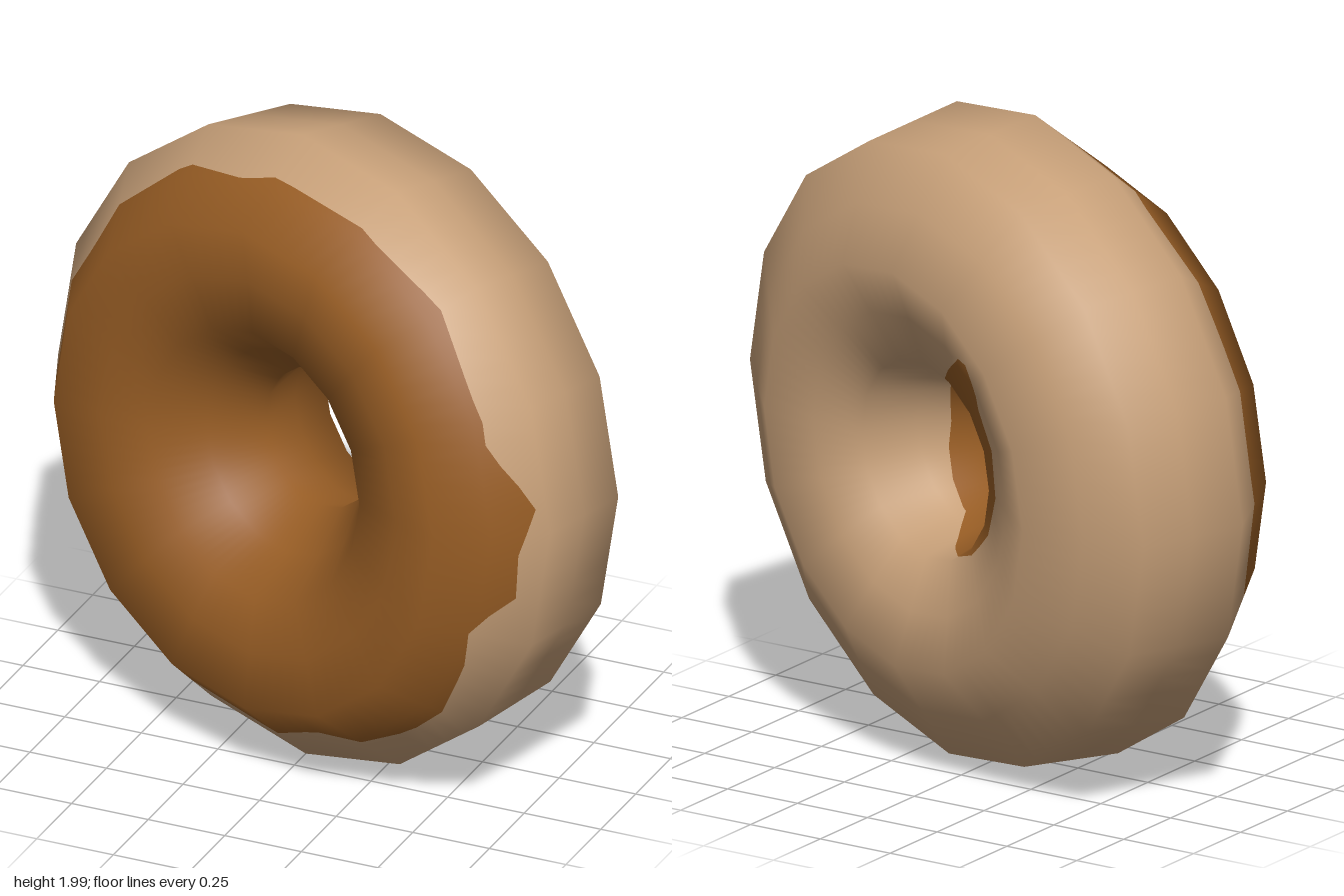
import * as THREE from 'three';

const SEGMENTS = 16;          // sides around the ring
const COLUMNS = SEGMENTS * 5; // finer columns so the icing edge can be ragged
const START = 0.037;          // angle of the first ring corner

// Seven-sided tube section as [radius, depth], outer rim -> front -> hole -> back
const PROFILE = [
  [1.0, 0.11], [0.77, 0.375], [0.43, 0.33], [0.22, 0.04],
  [0.31, -0.31], [0.63, -0.43], [0.96, -0.23],
];
const corner = (k) => PROFILE[((k % 7) + 7) % 7];

// Icing edges as [degrees around the ring, position along the section]
const OUTER_EDGE = [
  [0, 0.25], [7, 0.08], [19, 0.43], [30, 0.42], [48, 0.35], [65, 0.42], [90, 0.43],
  [101, 0.48], [119, 0.38], [149, 0.52], [180, 0.5], [207, 0.6], [239, 0.55], [270, 0.43],
  [285, 0.6], [294, 0.47], [306, 0.32], [330, 0.42], [341, 0.58], [348, 0.2], [360, 0.25],
];
const INNER_EDGE = [
  [0, 3.2], [60, 3.3], [100, 3.6], [118, 4.3], [126, 4.75], [140, 4.35], [180, 4.2],
  [215, 4.1], [240, 4.0], [262, 3.8], [290, 3.4], [360, 3.2],
];

function sample(edge, column) {
  const deg = (THREE.MathUtils.radToDeg(START) + (column / COLUMNS) * 360) % 360;
  const i = edge.findIndex((p, n) => deg >= p[0] && deg <= edge[n + 1][0]);
  const [a, b] = [edge[i], edge[i + 1]];
  return THREE.MathUtils.mapLinear(deg, a[0], b[0], a[1], b[1]);
}

// Section point and its smooth normal at position t
function section(t) {
  const k = Math.floor(t), f = t - k;
  const normalAt = (i) => {
    const a = corner(i - 1), b = corner(i + 1);
    return new THREE.Vector2(b[1] - a[1], a[0] - b[0]).normalize();
  };
  const point = new THREE.Vector2(...corner(k)).lerp(new THREE.Vector2(...corner(k + 1)), f);
  return { point, normal: normalAt(k).lerp(normalAt(k + 1), f) };
}

// Place a section vector on the 16-sided ring
function around(v, column) {
  const s = (column / COLUMNS) * SEGMENTS, k = Math.floor(s);
  const at = (i) => {
    const a = START + (i / SEGMENTS) * Math.PI * 2;
    return new THREE.Vector3(v.x * Math.cos(a), v.x * Math.sin(a), v.y);
  };
  return at(k).lerp(at(k + 1), s - k);
}

// A band of the ring surface between two edges, given as functions of the column
function band(name, color, from, to, first, last) {
  const positions = [], normals = [], index = [];
  const rows = (last - first) * 2;
  const tAt = (c, r) => THREE.MathUtils.clamp(first + r / 2, from(c), to(c));
  for (let c = 0; c <= COLUMNS; c++) {
    for (let r = 0; r <= rows; r++) {
      const { point, normal } = section(tAt(c, r));
      positions.push(...around(point, c).toArray());
      normals.push(...around(normal, c).normalize().toArray());
      if (c === COLUMNS || r === rows) continue;
      const a = c * (rows + 1) + r, b = a + rows + 1;
      // leave out triangles that collapse at the trimmed edge
      if (tAt(c + 1, r) !== tAt(c + 1, r + 1)) index.push(a, b, b + 1);
      if (tAt(c, r) !== tAt(c, r + 1)) index.push(a, b + 1, a + 1);
    }
  }
  const geometry = new THREE.BufferGeometry();
  geometry.setAttribute('position', new THREE.Float32BufferAttribute(positions, 3));
  geometry.setAttribute('normal', new THREE.Float32BufferAttribute(normals, 3));
  geometry.setIndex(index);
  const mesh = new THREE.Mesh(geometry, new THREE.MeshStandardMaterial({ color }));
  mesh.name = name;
  return mesh;
}

export function createModel() {
  const outer = (c) => sample(OUTER_EDGE, c);
  const inner = (c) => sample(INNER_EDGE, c);

  const donut = new THREE.Group();
  donut.name = 'donut';
  // Icing covers the front and runs through the hole; dough is the rest
  donut.add(band('icing', 0x965c24, outer, inner, 0, 5));
  donut.add(band('dough', 0xc69f78, inner, (c) => outer(c) + 7, 3, 8));

  // Standing on its rim, turned and leaning slightly back
  donut.rotation.set(-0.053, -0.325, 0);
  donut.position.set(0, 1, 0);

  const model = new THREE.Group();
  model.add(donut);
  return model;
}
